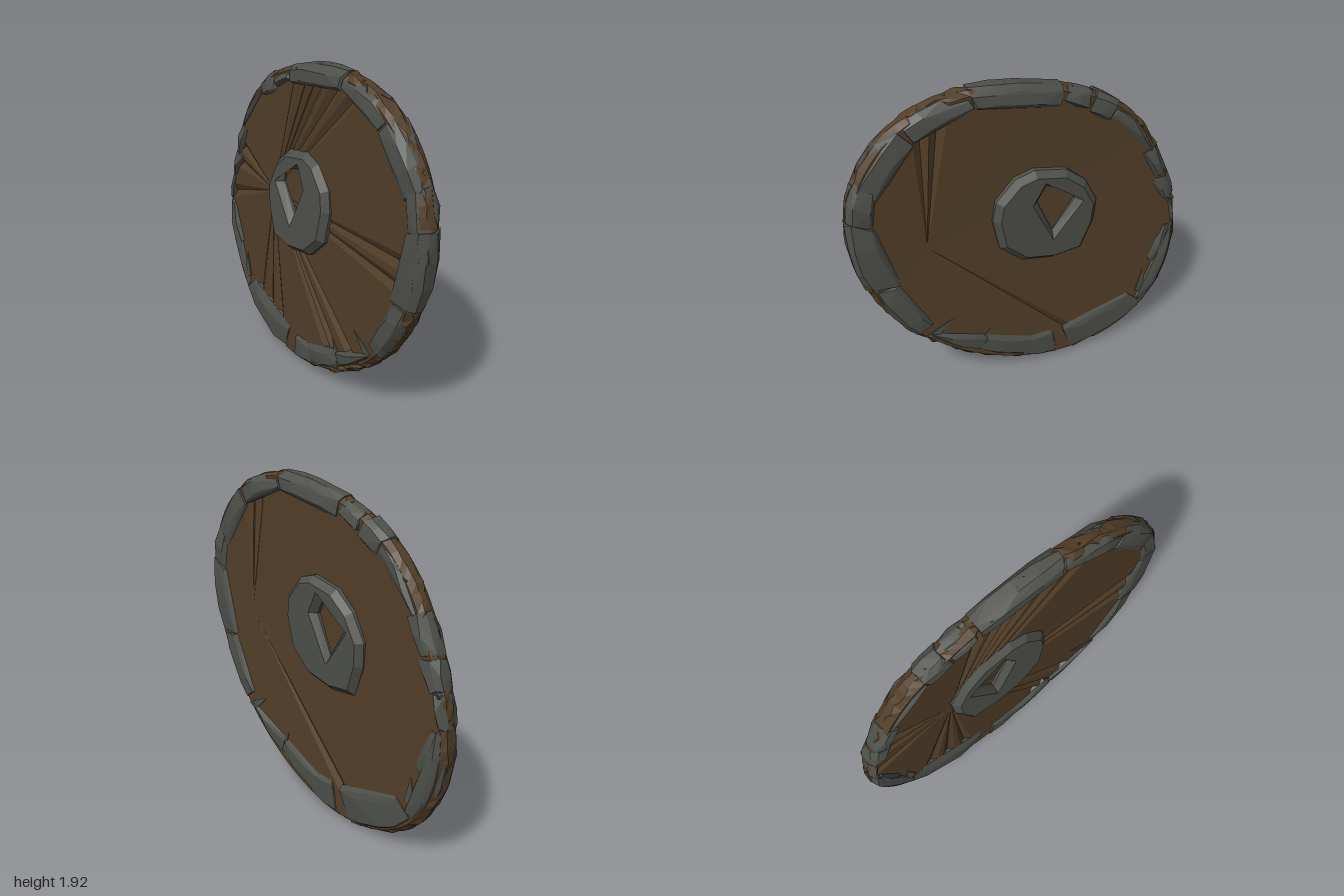
import * as THREE from 'three';
import { ConvexGeometry } from 'three/addons/geometries/ConvexGeometry.js';

const DEG = Math.PI / 180;
const CENTRE_Y = 0.965;

// Tilted oval outline with a broad shoulder, as radius by angle
function radius(a) {
  const c = Math.cos(a), s = Math.sin(a);
  const off = Math.atan2(Math.sin(a - 48 * DEG), Math.cos(a - 48 * DEG)) / (32 * DEG);
  return Math.sqrt(0.858 / (0.931 * c * c + 0.54 * c * s + s * s)) * (1 + 0.1 * Math.exp(-off * off));
}

// Point in the disc plane: angle, distance inward from the outline, side offset
function rimPoint(a, inset, x) {
  const r = radius(a) - inset;
  return new THREE.Vector3(x, CENTRE_Y + r * Math.sin(a), -r * Math.cos(a));
}

function makeRandom(seed) {
  return () => {
    seed = (seed * 16807) % 2147483647;
    return seed / 2147483647;
  };
}

export function createModel() {
  const model = new THREE.Group();
  model.name = 'stoneRimmedDisc';
  const rnd = makeRandom(4711);
  const jitter = (s) => (rnd() - 0.5) * 2 * s;

  const wood = new THREE.MeshStandardMaterial({ color: 0x533f29, flatShading: true });
  wood.name = 'brown wood';
  const stone = new THREE.MeshStandardMaterial({ color: 0x4f514b, flatShading: true });
  stone.name = 'grey stone';

  const add = (name, geometry, material, parent = model) => {
    const mesh = new THREE.Mesh(geometry, material);
    mesh.name = name;
    parent.add(mesh);
  };

  // Wooden panel: each face is a fan from an off-centre point, with creases
  const N = 120;
  const tris = [];
  const tri = (...pts) => pts.forEach((p) => tris.push(p.x, p.y, p.z));
  const creases = {
    1: [98, 39, 41],
    '-1': [3, 6, 26, 29, 31, 33, 36, 39, 57, 60, 78, 82, 84, 97, 100, 103, 118],
  };
  const apex = {
    1: new THREE.Vector3(0.052, 1.07, 0.58),
    '-1': new THREE.Vector3(-0.05, 1.05, -0.42),
  };
  const angle = (i) => (i / N) * 2 * Math.PI;
  const makeRing = (f) => Array.from({ length: N }, (_, i) => f(i));
  const face = (side) => makeRing((i) =>
    rimPoint(angle(i), 0.035, side * (creases[side].includes(i) ? 0.03 : 0.055)));
  const edge = (side) => makeRing((i) =>
    rimPoint(angle(i), 0.004 + rnd() * 0.014, side * (0.012 + rnd() * 0.022)));
  const rings = [face(1), edge(1), edge(-1), face(-1)];
  for (let i = 0; i < N; i++) {
    const j = (i + 1) % N;
    tri(apex[1], rings[0][i], rings[0][j]);
    tri(apex[-1], rings[3][j], rings[3][i]);
    for (let k = 0; k < 3; k++) {
      tri(rings[k][i], rings[k + 1][i], rings[k + 1][j]);
      tri(rings[k][i], rings[k + 1][j], rings[k][j]);
    }
  }
  const panel = new THREE.BufferGeometry();
  panel.setAttribute('position', new THREE.Float32BufferAttribute(tris, 3));
  panel.computeVertexNormals();
  add('woodenPanel', panel, wood);

  // Rim stones: start angle, end angle, width at start, width at end, outer inset
  const stones = [
    [77, 108, 0.12, 0.12, 0.005], [65, 75, 0.11, 0.09, 0.012], [53, 63, 0.12, 0.13, 0.008],
    [27, 52, 0.07, 0.09, 0.022], [13, 27, 0.09, 0.12, 0.01], [2, 12, 0.08, 0.12, 0.006],
    [-9, 1, 0.04, 0.06, 0.012], [-42, -10, 0.11, 0.06, 0.014], [-26, -11, 0.19, 0.1, 0.02],
    [-72, -43, 0.24, 0.2, 0.012], [-92, -78, 0.17, 0.23, 0.016], [-112, -88, 0.17, 0.19, 0.03],
    [-140, -113, 0.07, 0.17, 0.035], [-173, -144, 0.16, 0.13, 0.012], [160, 186, 0.16, 0.19, 0.004],
    [149, 160, 0.13, 0.15, 0.008], [130, 150, 0.16, 0.15, 0.012], [109, 129, 0.11, 0.15, 0.018],
  ];
  const rim = new THREE.Group();
  rim.name = 'stoneRim';
  model.add(rim);
  stones.forEach(([a0, a1, w0, w1, inset]) => {
    const pts = [];
    const steps = Math.max(2, Math.round((a1 - a0) / 8));
    for (let i = 0; i <= steps; i++) {
      const t = i / steps;
      const a = (a0 + (a1 - a0) * t) * DEG;
      const end = i === 0 || i === steps ? 0.008 : 0;
      for (const side of [-1, 1]) {
        const w = (w0 + (w1 - w0) * t) * (side > 0 ? 1 : 0.88);
        const at = () => a + jitter(0.012);
        pts.push(
          rimPoint(at(), inset + jitter(0.004), side * (0.026 + jitter(0.014))),
          rimPoint(at(), inset + 0.032 + jitter(0.012), side * (0.067 - end + jitter(0.006))),
          rimPoint(at(), w * 0.87, side * (0.073 - end + jitter(0.005))),
          rimPoint(at(), w + jitter(0.01), side * 0.054));
      }
    }
    add('rimStone', new ConvexGeometry(pts), stone, rim);
  });

  // Small broken chips along the outer edge
  const CHIPS = 40;
  for (let k = 0; k < CHIPS; k++) {
    const a = (k / CHIPS) * 2 * Math.PI + jitter(0.05);
    const x = jitter(0.045);
    const pts = [];
    for (let i = 0; i < 7; i++) {
      pts.push(rimPoint(a + jitter(0.045), 0.001 + Math.abs(x) * 0.4 + rnd() * 0.05, x + jitter(0.025)));
    }
    add('rimChip', new ConvexGeometry(pts), k % 5 < 3 ? stone : wood, rim);
  }

  // Thin splinters reaching inward from the rim
  const splinter = (u, y, du, dy, w) => {
    const pts = [];
    for (const x of [-0.062, 0.062]) {
      pts.push(new THREE.Vector3(x, y, -u + w), new THREE.Vector3(x, y - w, -u - w),
        new THREE.Vector3(x * 0.95, y + dy, -(u + du)));
    }
    add('rimSplinter', new ConvexGeometry(pts), stone, rim);
  };
  splinter(-0.6, 0.46, 0.15, 0.08, 0.03);
  splinter(-0.3, 0.27, 0.06, 0.11, 0.03);
  splinter(0.78, 0.34, 0.0, 0.15, 0.04);

  // Central boss: faceted stone ring with an off-centre opening, leaning slightly
  const v = (pts) => pts.map(([x, y]) => new THREE.Vector2(x, y));
  const bossShape = new THREE.Shape(v([
    [-0.08, 1.38], [-0.19, 1.26], [-0.21, 1.14], [-0.17, 0.95], [-0.03, 0.82], [0.16, 0.78],
    [0.34, 0.8], [0.41, 0.98], [0.42, 1.12], [0.34, 1.27], [0.22, 1.37], [0.03, 1.41],
  ]));
  bossShape.holes.push(new THREE.Path(v([
    [0.1, 1.29], [0.05, 1.2], [0.15, 0.98], [0.28, 1.16], [0.26, 1.24],
  ])));
  const boss = new THREE.ExtrudeGeometry(bossShape, {
    depth: 0.13, bevelEnabled: true, bevelSegments: 1,
    bevelThickness: 0.036, bevelSize: 0.035, bevelOffset: -0.035,
  });
  boss.translate(0, 0, -0.065);
  boss.rotateY(Math.PI / 2);
  const p = boss.attributes.position;
  for (let i = 0; i < p.count; i++) p.setX(i, p.getX(i) + 0.05 * (p.getY(i) - 1.08));
  boss.computeVertexNormals();
  add('centreBoss', boss, stone);

  return model;
}
